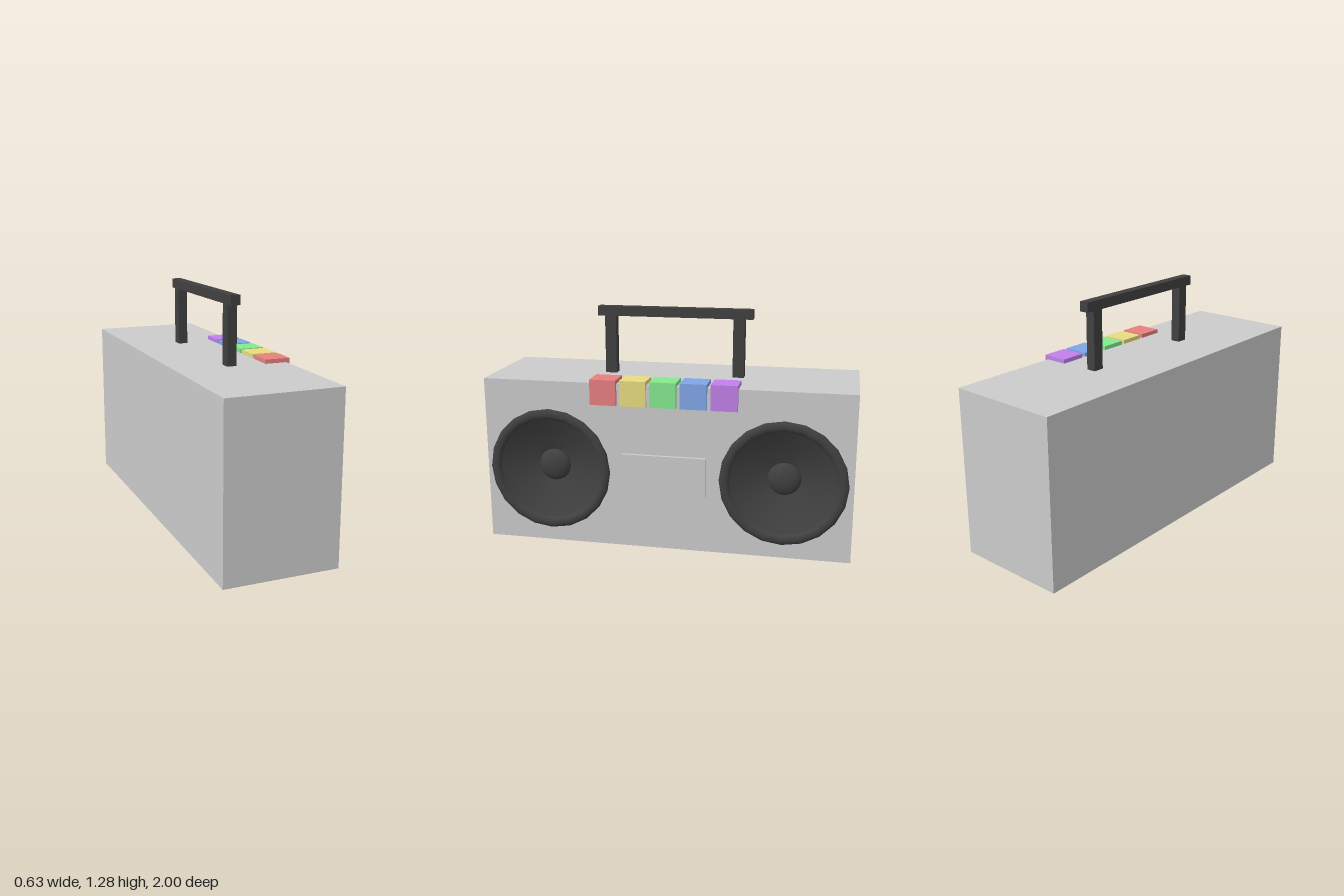
import * as THREE from 'three';
import { toCreasedNormals } from 'three/addons/utils/BufferGeometryUtils.js';

const mat = (color) => new THREE.MeshStandardMaterial({ color });
const grey = mat(0xcccccc);
const dark = mat(0x404040);

const FRONT = 0.295, BACK = -0.318, HEIGHT = 0.91;
const SPEAKERS = [0.64, -0.635], SPEAKER_Y = 0.415;

function add(parent, name, geometry, material) {
  const mesh = new THREE.Mesh(geometry, material);
  mesh.name = name;
  parent.add(mesh);
  return mesh;
}

// Box given by its minimum and maximum corners
function box(parent, name, [x0, y0, z0], [x1, y1, z1], material) {
  const geometry = new THREE.BoxGeometry(x1 - x0, y1 - y0, z1 - z0);
  geometry.translate((x0 + x1) / 2, (y0 + y1) / 2, (z0 + z1) / 2);
  return add(parent, name, geometry, material);
}

export function createModel() {
  const model = new THREE.Group();
  model.name = 'portableStereo';

  // Cabinet: a box without its +x face, closed by a panel with speaker holes
  const cabinet = box(model, 'cabinet', [BACK, 0, -1], [FRONT, HEIGHT, 1], grey);
  cabinet.geometry.setIndex(Array.from(cabinet.geometry.index.array).slice(6));
  cabinet.geometry.clearGroups();

  const face = new THREE.Shape([[-1, 0], [1, 0], [1, HEIGHT], [-1, HEIGHT]].map(([x, y]) => new THREE.Vector2(x, y)));
  for (const z of SPEAKERS) {
    const hole = new THREE.Path();
    hole.absarc(-z, SPEAKER_Y, 0.31, 0, Math.PI * 2, true);
    face.holes.push(hole);
  }
  const panel = new THREE.ShapeGeometry(face, 20);
  panel.rotateY(Math.PI / 2).translate(FRONT, 0, 0);
  add(model, 'speakerPanel', panel, grey);

  // Speakers: raised rim, sunken cone and small central dome
  const rim = [[0.34, -0.01], [0.34, 0.005], [0.334, 0.013], [0.32, 0.018], [0.303, 0.018], [0.291, 0.012], [0.285, 0]];
  const cone = [[0.285, 0], [0.22, -0.035], [0.15, -0.065], [0.09, -0.085]];
  const dome = [];
  for (let i = 0; i <= 6; i++) {
    const a = (i / 6) * Math.PI / 2;
    dome.push([0.09 * Math.cos(a), -0.085 + 0.04 * Math.sin(a)]);
  }
  for (const z of SPEAKERS) {
    const speaker = new THREE.Group();
    speaker.name = z > 0 ? 'leftSpeaker' : 'rightSpeaker';
    speaker.position.set(FRONT, SPEAKER_Y, z);
    for (const [name, profile] of [['rim', rim], ['cone', cone], ['dome', dome]]) {
      const points = profile.map(([r, h]) => new THREE.Vector2(Math.max(r, 0), h));
      const geometry = new THREE.LatheGeometry(points, 20).rotateZ(-Math.PI / 2);
      add(speaker, name, toCreasedNormals(geometry, Math.PI / 4), dark);
    }
    model.add(speaker);
  }

  // Cassette door
  box(model, 'cassetteDoor', [FRONT - 0.01, 0.31, -0.227], [0.313, 0.53, 0.23], grey);

  // Coloured keys wrapped over the top front edge
  const colors = [0xe88080, 0xe8dc80, 0x84ea8e, 0x80a6e8, 0xc080ea];
  colors.forEach((color, i) => {
    const z = 0.328 - i * 0.162;
    box(model, 'key' + (i + 1), [0.175, 0.795, z - 0.071], [0.315, 0.932, z + 0.071], mat(color));
  });

  // Carrying handle
  const handle = new THREE.Group();
  handle.name = 'handle';
  box(handle, 'grip', [-0.038, 1.228, -0.427], [0.014, 1.28, 0.43], dark);
  for (const z of [0.36, -0.352]) {
    box(handle, 'post', [-0.038, 0.9, z - 0.031], [0.014, 1.228, z + 0.031], dark);
  }
  model.add(handle);

  return model;
}
